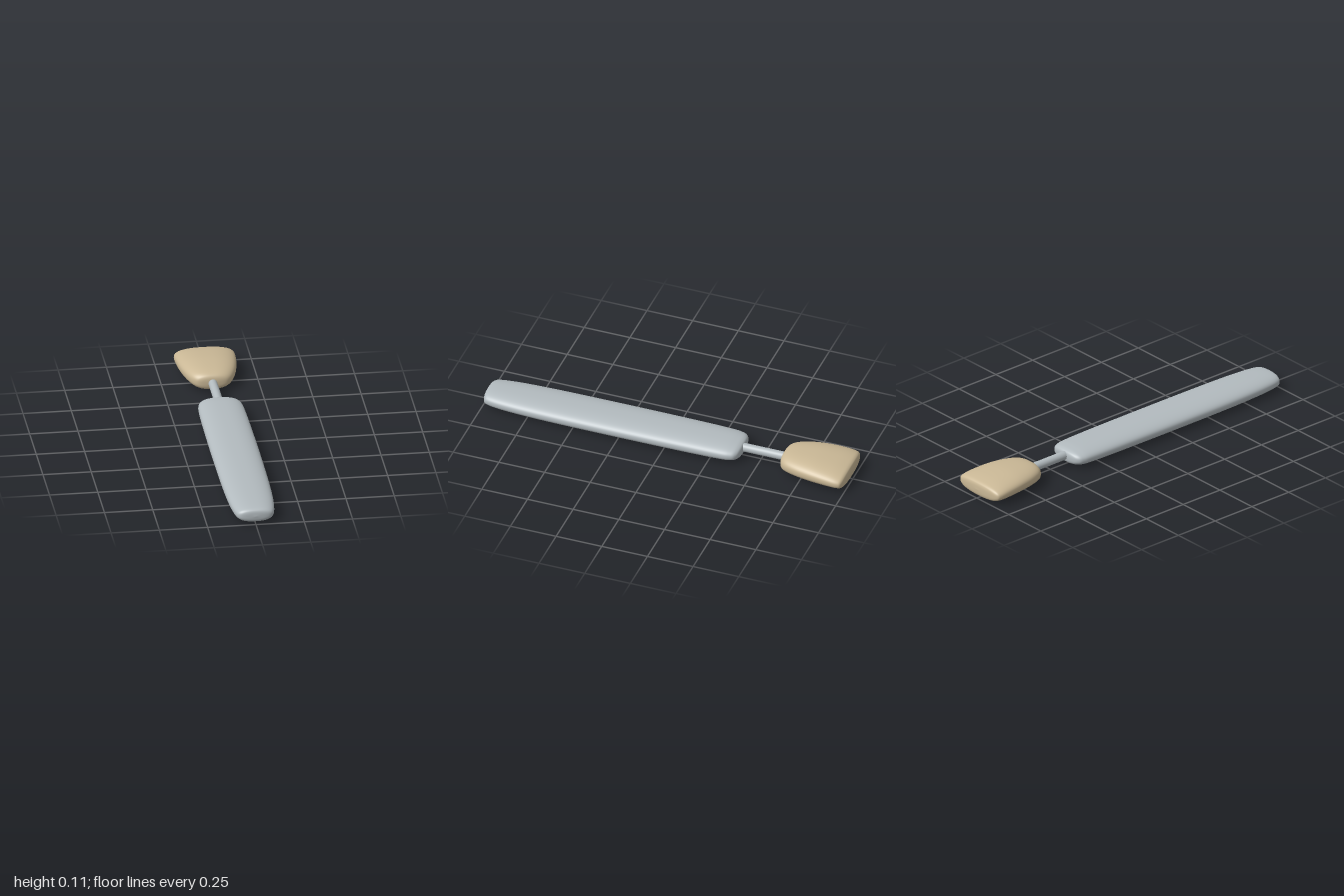
import * as THREE from 'three';

const metal = new THREE.MeshStandardMaterial({ color: 0xb3bbbf });
metal.name = 'satin metal';
const tan = new THREE.MeshStandardMaterial({ color: 0xcab896 });
tan.name = 'tan handle';

// Smooth closed body along z; each station is [z, half width, bottom y, top y]
function loft(stations, power, rows = 72, sides = 56) {
  const plan = new THREE.CatmullRomCurve3(
    stations.map(([z, w]) => new THREE.Vector3(w, 0, z)), false, 'catmullrom');
  const side = new THREE.CatmullRomCurve3(
    stations.map(([, , low, high]) => new THREE.Vector3(low, high, 0)), false, 'catmullrom');
  const pos = [], index = [];
  const bend = (v) => Math.sign(v) * Math.abs(v) ** (2 / power);
  for (let i = 0; i <= rows; i++) {
    const p = plan.getPoint(i / rows), s = side.getPoint(i / rows);
    const mid = (s.x + s.y) / 2, half = (s.y - s.x) / 2;
    for (let j = 0; j < sides; j++) {
      const a = (j / sides) * Math.PI * 2;
      pos.push(p.x * bend(Math.cos(a)), mid + half * bend(Math.sin(a)), p.z);
      if (i === rows) continue;
      const k = (j + 1) % sides, r = i * sides, n = r + sides;
      if (i > 0) index.push(r + j, r + k, n + k);
      if (i < rows - 1) index.push(r + j, n + k, n + j);
      else if (i === 0) index.push(r + j, n + k, n + j);
    }
  }
  const geo = new THREE.BufferGeometry();
  geo.setAttribute('position', new THREE.Float32BufferAttribute(pos, 3));
  geo.setIndex(index);
  geo.computeVertexNormals();
  return geo;
}

function addPart(group, name, geo, material) {
  const mesh = new THREE.Mesh(geo, material);
  mesh.name = name;
  group.add(mesh);
  return mesh;
}

export function createModel() {
  const model = new THREE.Group();
  model.name = 'spatula';

  // Long flat blade with softly rounded ends
  addPart(model, 'blade', loft([
    [-0.41, 0, 0.047, 0.047],
    [-0.405, 0.06, 0.023, 0.069],
    [-0.392, 0.093, 0.012, 0.08],
    [-0.365, 0.11, 0.006, 0.086],
    [-0.3, 0.118, 0.003, 0.09],
    [-0.1, 0.122, 0.001, 0.092],
    [0.25, 0.124, 0.001, 0.092],
    [0.6, 0.122, 0.001, 0.092],
    [0.8, 0.116, 0.003, 0.091],
    [0.91, 0.107, 0.005, 0.089],
    [0.965, 0.097, 0.009, 0.086],
    [0.986, 0.084, 0.013, 0.081],
    [0.996, 0.056, 0.023, 0.07],
    [1.0, 0, 0.046, 0.046],
  ], 2.4, 91), metal);

  // Round shaft joining blade and handle
  const shaft = addPart(model, 'shaft', new THREE.CylinderGeometry(0.023, 0.023, 0.3, 32), metal);
  shaft.rotation.x = Math.PI / 2;
  shaft.position.set(0, 0.05, -0.52);

  // Handle flaring towards a blunt end
  addPart(model, 'handle', loft([
    [-1.0, 0, 0.05, 0.05],
    [-0.997, 0.09, 0.025, 0.076],
    [-0.988, 0.141, 0.013, 0.089],
    [-0.965, 0.156, 0.009, 0.097],
    [-0.91, 0.157, 0.007, 0.106],
    [-0.82, 0.149, 0.006, 0.113],
    [-0.74, 0.134, 0.007, 0.112],
    [-0.68, 0.114, 0.008, 0.107],
    [-0.645, 0.092, 0.011, 0.098],
    [-0.628, 0.062, 0.022, 0.083],
    [-0.621, 0, 0.052, 0.052],
  ], 2.45, 80), tan);

  return model;
}
